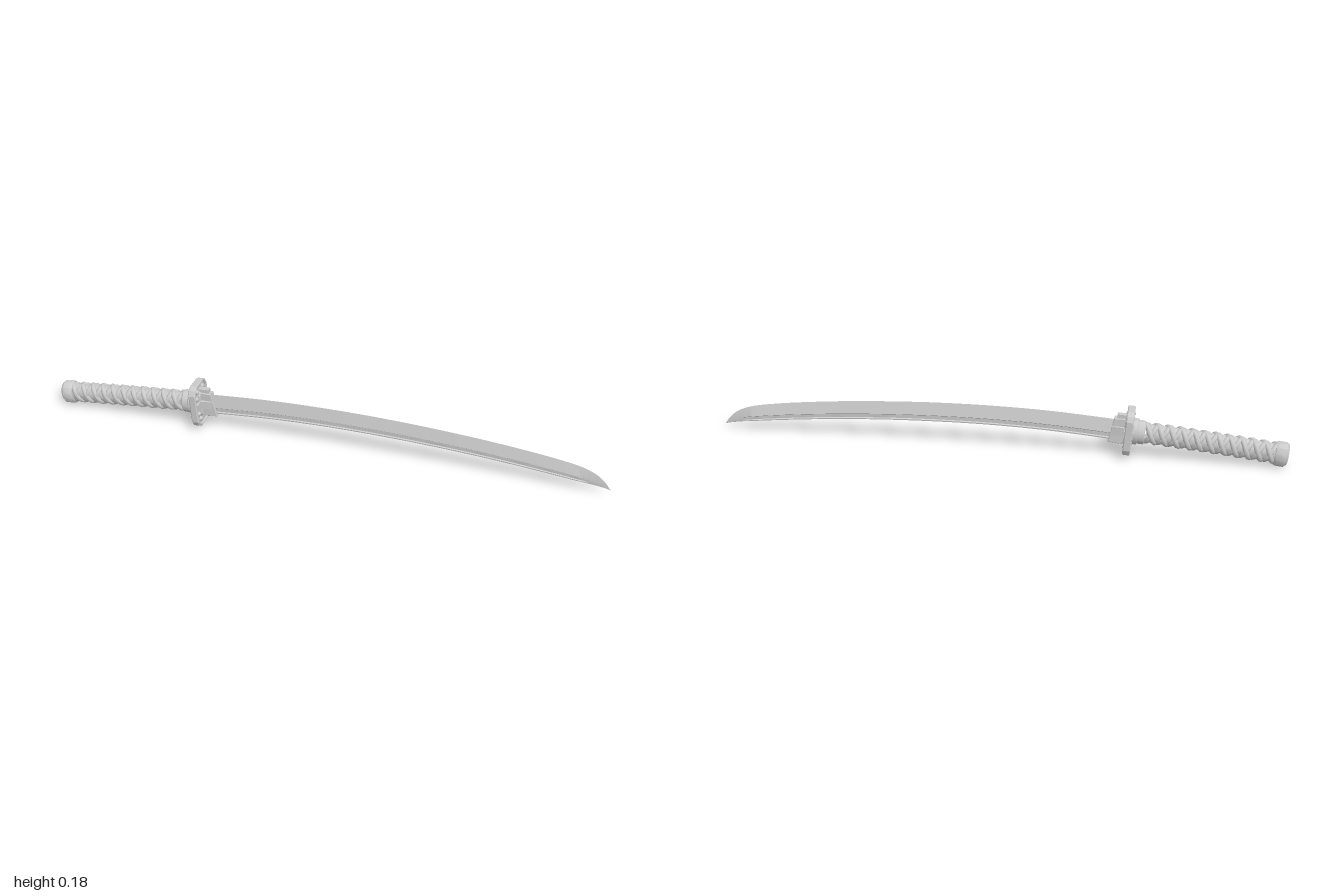
import * as THREE from 'three';
import { toCreasedNormals } from 'three/addons/utils/BufferGeometryUtils.js';

const V = (x, y, z) => new THREE.Vector3(x, y, z);
const grey = new THREE.MeshStandardMaterial({ color: 0xcccccc });

function add(parent, name, geometry) {
  const mesh = new THREE.Mesh(geometry, grey);
  mesh.name = name;
  parent.add(mesh);
  return mesh;
}

// Skin closed loops of points that follow each other along +x, with end caps
function loft(loops, crease = 0.5) {
  const n = loops[0].length, last = (loops.length - 1) * n, index = [];
  for (let i = 0; i < loops.length - 1; i++) {
    for (let j = 0; j < n; j++) {
      const a = i * n + j, b = i * n + (j + 1) % n;
      index.push(a, b, b + n, a, b + n, a + n);
    }
  }
  for (let j = 1; j < n - 1; j++) index.push(0, j + 1, j, last, last + j, last + j + 1);
  const g = new THREE.BufferGeometry().setFromPoints(loops.flat());
  g.setIndex(index);
  return toCreasedNormals(g, crease);
}

// Gently curved centre line of the grip
const axisY = (x) => 0.044 + 0.12 * (x + 1) - 0.04 * (x + 1) ** 2;
const axisTilt = (x) => Math.atan(0.12 - 0.08 * (x + 1));

// Point around the grip at angle a, on an ellipse square to the centre line
function around(x, a, ry, rz) {
  const h = Math.cos(a) * ry, t = axisTilt(x);
  return V(x - Math.sin(t) * h, axisY(x) + Math.cos(t) * h, Math.sin(a) * rz);
}
const ring = (x, ry, rz, n = 24) =>
  Array.from({ length: n }, (_, i) => around(x, ((i + 0.5) / n) * Math.PI * 2, ry, rz));
const turned = (rows, n, crease) => loft(rows.map(([x, ry, rz]) => ring(x, ry, rz, n)), crease);

// Chamfered plate outline, half width w, half height h
function plate(w, h, c, Type = THREE.Shape) {
  const k = c * 0.35;
  const quarter = [[w, h - c], [w - k, h - k], [w - c, h]];
  const flip = (sx, sy) => quarter.map(([x, y]) => new THREE.Vector2(x * sx, y * sy));
  return new Type([...flip(1, 1), ...flip(-1, 1).reverse(), ...flip(-1, -1), ...flip(1, -1).reverse()]);
}
function slab(shape, depth, bevel) {
  const g = new THREE.ExtrudeGeometry(shape, {
    depth: depth - 2 * bevel, bevelEnabled: bevel > 0, bevelSize: bevel,
    bevelThickness: bevel, bevelOffset: -bevel, bevelSegments: 1,
  });
  return g.translate(0, 0, bevel - depth / 2).rotateY(Math.PI / 2);
}

function makeBlade() {
  // Each station: x, cutting edge height, spine height
  const path = new THREE.CatmullRomCurve3([
    V(-0.44, 0.134, 0.058), V(-0.2, 0.151, 0.077), V(0, 0.157, 0.085), V(0.2, 0.156, 0.085),
    V(0.4, 0.148, 0.079), V(0.6, 0.134, 0.067), V(0.8, 0.112, 0.049), V(0.9, 0.094, 0.038),
    V(0.95, 0.073, 0.031), V(0.98, 0.048, 0.026), V(1, 0.0215, 0.021),
  ], false, 'centripetal');
  const loops = path.getPoints(60).map(({ x, y: top, z: low }) => {
    const taper = Math.min(1, Math.max(0.04, (1 - x) / 0.12));
    const groove = x < 0.92 ? 0.0035 : 0;
    const at = (f, z) => V(x, low + (top - low) * f, z * taper);
    const side = [[0.36, 0.011], [0.32, 0.011 - groove], [0.14, 0.0105 - groove], [0.1, 0.0105], [0.04, 0.0095]];
    return [at(1, 0), ...side.map(([f, z]) => at(f, z)), at(0, 0),
      ...side.map(([f, z]) => at(f, -z)).reverse()];
  });
  return loft(loops, 0.3);
}

function makeGuard() {
  const guard = new THREE.Group();
  guard.name = 'guard';
  const rim = plate(0.057, 0.081, 0.028);
  rim.holes.push(plate(0.048, 0.072, 0.024, THREE.Path));
  add(guard, 'guardRim', slab(rim, 0.026, 0.003));
  add(guard, 'guardPanel', slab(plate(0.05, 0.074, 0.025), 0.014, 0));
  add(guard, 'guardWasher', slab(plate(0.022, 0.052, 0.016), 0.032, 0.003));

  for (const face of [1, -1]) {
    for (const side of [1, -1]) {
      // Domed rivets on both faces
      for (const [y, z] of [[0.054, 0.024], [0.03, 0.034], [-0.03, 0.034], [-0.054, 0.024]]) {
        add(guard, 'rivet', new THREE.SphereGeometry(0.009, 12, 8))
          .position.set(face * 0.007, y, side * z);
      }
      // Side clips
      add(guard, 'sideClip', new THREE.BoxGeometry(0.014, 0.026, 0.024))
        .position.set(face * 0.009, 0, side * 0.036);
    }
  }
  guard.position.set(-0.457, axisY(-0.457), 0);
  guard.rotation.z = axisTilt(-0.457);
  return guard;
}

function makeGrip() {
  const grip = new THREE.Group();
  grip.name = 'grip';
  const core = [];
  for (let x = -0.96; x < -0.48; x += 0.04) core.push([x, 0.033, 0.027]);
  add(grip, 'gripCore', turned(core, 24, 1));

  // Crossing cords wound in both directions
  const start = -0.953, end = -0.505, pitch = 0.08;
  for (const dir of [1, -1]) {
    for (const phase of [0, Math.PI]) {
      const points = [];
      for (let i = 0; i <= 120; i++) {
        const x = start + ((end - start) * i) / 120;
        const a = phase + (dir * (x - start) * Math.PI * 2) / pitch;
        const lift = dir > 0 ? 0.002 : 0;
        points.push(around(x, a, 0.028 + lift, 0.023 + lift));
      }
      add(grip, 'cord', new THREE.TubeGeometry(new THREE.CatmullRomCurve3(points), 200, 0.01, 8));
    }
  }

  // Pommel cap with a stepped end face
  add(grip, 'pommel', turned([
    [-0.994, 0.028, 0.022], [-0.994, 0.036, 0.029], [-0.985, 0.044, 0.038],
    [-0.958, 0.044, 0.038], [-0.95, 0.04, 0.034],
  ], 12));
  // Collar between grip and guard
  add(grip, 'gripCollar', turned([
    [-0.512, 0.038, 0.033], [-0.508, 0.042, 0.037], [-0.488, 0.042, 0.037],
    [-0.486, 0.046, 0.04], [-0.47, 0.046, 0.04],
  ], 24));
  return grip;
}

export function createModel() {
  const model = new THREE.Group();
  model.name = 'curvedSword';
  add(model, 'blade', makeBlade());
  model.add(makeGuard(), makeGrip());

  // Blade collar: a sleeve with a slanted end
  const sleeve = new THREE.Shape([[-0.45, 0.05], [-0.388, 0.057], [-0.408, 0.142], [-0.45, 0.142]]
    .map(([x, y]) => new THREE.Vector2(x, y)));
  add(model, 'bladeCollar', new THREE.ExtrudeGeometry(sleeve, {
    depth: 0.024, bevelSize: 0.002, bevelThickness: 0.002, bevelSegments: 1,
  }).translate(0, 0, -0.012));

  // Raised tab above the blade collar
  const tab = add(model, 'collarTab', new THREE.BoxGeometry(0.04, 0.03, 0.02));
  tab.position.set(-0.435, 0.142, 0);
  tab.rotation.z = axisTilt(-0.457);

  // Tapered cheeks on both sides of the blade collar
  for (const side of [1, -1]) {
    const cheek = add(model, 'collarCheek', new THREE.BoxGeometry(0.05, 0.03, 0.014));
    cheek.position.set(-0.425, 0.1, side * 0.015);
    cheek.rotation.y = side * 0.15;
  }
  return model;
}
